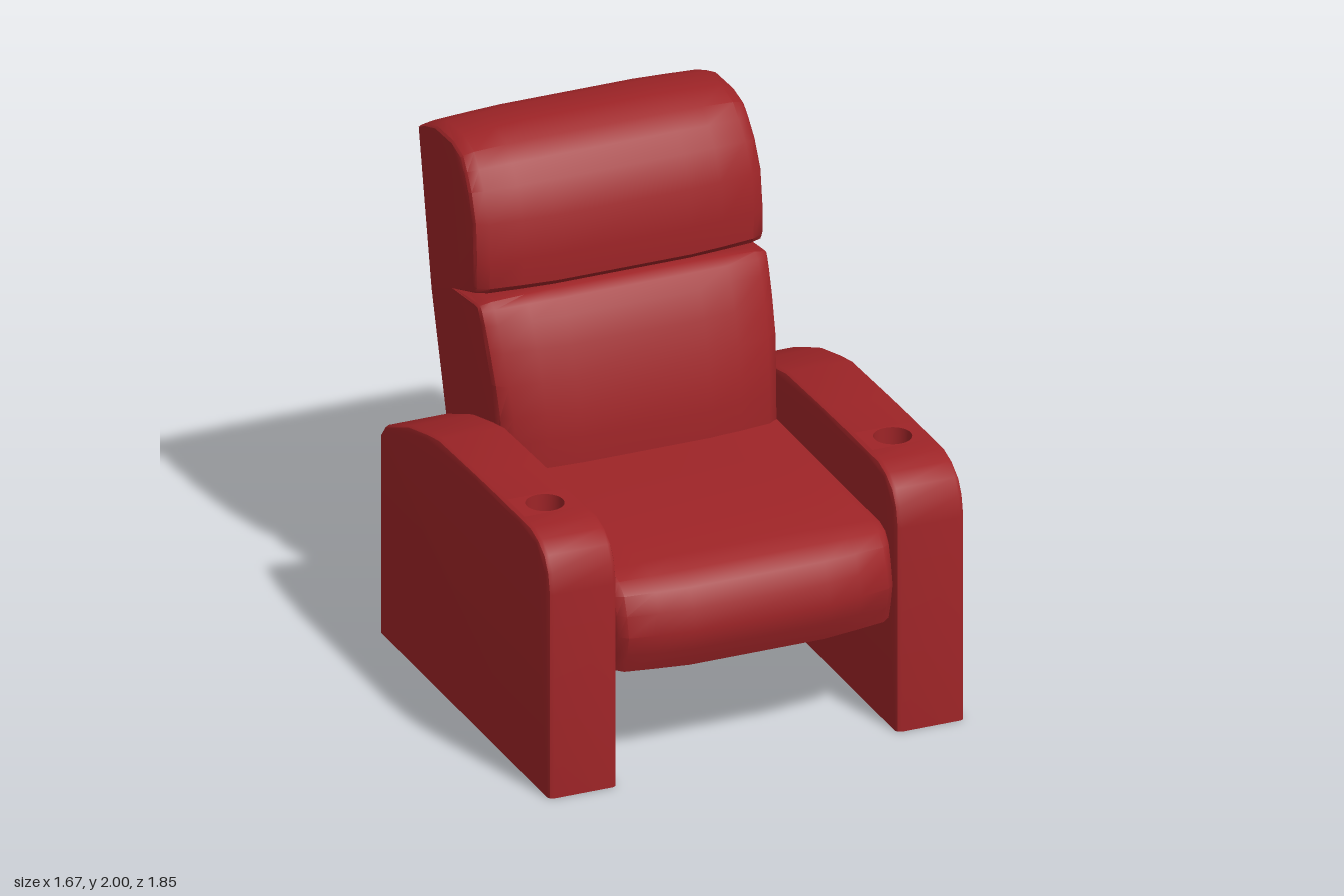
import * as THREE from 'three';
import { toCreasedNormals } from 'three/addons/utils/BufferGeometryUtils.js';

const red = new THREE.MeshStandardMaterial({ color: 0x9e2427 });
red.name = 'red upholstery';

// Lofts a side profile across x. Profile points are [z, y, dz, dy];
// each station [x, s] shifts them inward by s * (dz, dy).
function loft(profile, halfStations, { widthAt = () => 1, skip = () => false, crease = 0.6 } = {}) {
  const stations = [
    ...halfStations.map(([x, s]) => [-x, s]),
    ...[...halfStations].reverse(),
  ];
  const n = profile.length;
  const pos = [];
  const index = [];
  for (const [x, s] of stations) {
    for (const [z, y, dz = 0, dy = 0] of profile) pos.push(x * widthAt(y), y - s * dy, z - s * dz);
  }
  for (let i = 0; i < stations.length - 1; i++) {
    for (let j = 0; j < n; j++) {
      if (skip(i, j)) continue;
      const k = (j + 1) % n;
      const a = i * n + j, b = a + n, c = (i + 1) * n + k, d = i * n + k;
      index.push(a, b, c, a, c, d);
    }
  }
  // end caps
  const s = stations[0][1];
  const outline = profile.map(([z, y, dz = 0, dy = 0]) => new THREE.Vector2(z - s * dz, y - s * dy));
  const last = (stations.length - 1) * n;
  for (const [a, b, c] of THREE.ShapeUtils.triangulateShape(outline, [])) {
    index.push(a, b, c, last + a, last + c, last + b);
  }
  const g = new THREE.BufferGeometry();
  g.setAttribute('position', new THREE.Float32BufferAttribute(pos, 3));
  g.setIndex(index);
  return toCreasedNormals(g, crease);
}

function part(name, geometry) {
  const m = new THREE.Mesh(geometry, red);
  m.name = name;
  return m;
}

// Armrest with softened edges and a cup well sunk in its top
function createArm(name) {
  const arm = new THREE.Group();
  arm.name = name;
  const w = 0.1375, b = 0.02, top = 1.03, wellZ = 0.52, half = 0.08, r = 0.072, depth = 0.1;
  const profile = [
    [0.87, 0, b, 0], [0.87, 0.83, b, 0], [0.855, 0.91, b, 0.005], [0.82, 0.97, 0.014, 0.014],
    [0.76, 1.01, 0.006, b], [0.69, top, 0, b], [wellZ + half, top, 0, b], [wellZ - half, top, 0, b],
    [0.2, 1.026, 0, b], [-0.15, 1.016, 0, b], [-0.25, 0.995, 0, b], [-0.42, 0.95, 0, b],
    [-0.64, 0.855, -0.01, b], [-0.685, 0.8, -b, 0.01], [-0.685, 0, -b, 0],
  ];
  const stations = [[w, 1], [w - 0.006, 0.3], [w - b, 0]];
  arm.add(part('armBody', loft(profile, stations, { skip: (i, j) => i === 2 && j === 6 })));

  const x = w - b;
  const plate = new THREE.Shape([[-x, -half], [x, -half], [x, half], [-x, half]].map((p) => new THREE.Vector2(...p)));
  plate.holes.push(new THREE.Path().absarc(0, 0, r, 0, Math.PI * 2, true));
  const rim = part('cupWellRim', new THREE.ShapeGeometry(plate, 24).rotateX(-Math.PI / 2));
  rim.position.set(0, top, wellZ);

  // wall faces inward
  const wallGeometry = new THREE.CylinderGeometry(r, r, depth, 48, 1, true).scale(-1, 1, 1);
  const idx = wallGeometry.index.array;
  const normals = wallGeometry.attributes.normal;
  for (let i = 0; i < normals.count; i++) normals.setXYZ(i, -normals.getX(i), 0, -normals.getZ(i));
  // scaling by -1 does not reorder the indices, so the faces already point inward
  wallGeometry.setIndex(Array.from(idx));
  wallGeometry.computeVertexNormals();
  const wall = part('cupWellWall', wallGeometry);
  wall.position.set(0, top - depth / 2, wellZ);

  const floor = part('cupWellFloor', new THREE.CircleGeometry(r, 48).rotateX(-Math.PI / 2));
  floor.position.set(0, top - depth, wellZ);
  arm.add(rim, wall, floor);
  return arm;
}

export function createModel() {
  const model = new THREE.Group();
  model.name = 'recliner';

  for (const side of [1, -1]) {
    const arm = createArm(side > 0 ? 'leftArm' : 'rightArm');
    arm.position.x = side * 0.6975;
    model.add(arm);
  }

  // Seat cushion with a bulging front
  const seatProfile = [
    [-0.684, 0.42], [0.78, 0.415, 0.02, -0.02], [0.87, 0.44, 0.07, -0.012], [0.905, 0.52, 0.09, 0],
    [0.925, 0.6, 0.095, 0], [0.905, 0.68, 0.09, 0], [0.87, 0.755, 0.07, 0.01], [0.81, 0.8, 0.04, 0.02],
    [0.72, 0.82, 0, 0.025], [0.1, 0.82, 0, 0.025], [-0.684, 0.81, 0, 0.01],
  ];
  const seatStations = [[0.558, 1], [0.55, 0.75], [0.52, 0.45], [0.4, 0.22], [0.27, 0]];
  model.add(part('seatCushion', loft(seatProfile, seatStations)));

  // Backrest cushions share one sloping rear plane and swell slightly in width
  const widthAt = (y) => 1 - 0.035 * Math.min(1, ((y - 1.55) / 0.55) ** 2);
  const backStations = [[0.58, 1], [0.572, 0.75], [0.53, 0.4], [0.4, 0.17], [0.27, 0]];
  const lowerProfile = [
    [-0.684, 0.79], [-0.135, 0.79, 0.1, 0], [-0.137, 0.92, 0.1, 0], [-0.15, 1.02, 0.09, 0],
    [-0.18, 1.14, 0.08, 0], [-0.22, 1.26, 0.08, 0], [-0.265, 1.36, 0.07, 0.01],
    [-0.305, 1.415, 0.05, 0.02], [-0.345, 1.44, 0.02, 0.03], [-0.39, 1.44, 0, 0.03],
    [-0.6, 1.385], [-0.792, 1.3],
  ];
  model.add(part('lowerBackCushion', loft(lowerProfile, backStations, { widthAt })));

  const headProfile = [
    [-0.792, 1.3], [-0.6, 1.385], [-0.37, 1.445, 0.04, -0.01], [-0.345, 1.47, 0.055, -0.01],
    [-0.34, 1.58, 0.06, 0], [-0.355, 1.73, 0.06, 0], [-0.41, 1.85, 0.05, 0.015],
    [-0.465, 1.92, 0.04, 0.025], [-0.52, 1.975, 0.025, 0.035], [-0.63, 2.0, 0, 0.04],
    [-0.78, 1.99, 0, 0.035], [-0.87, 1.955, 0, 0.03], [-0.925, 1.92, -0.005, 0.02],
  ];
  model.add(part('headCushion', loft(headProfile, backStations, { widthAt })));

  return model;
}
